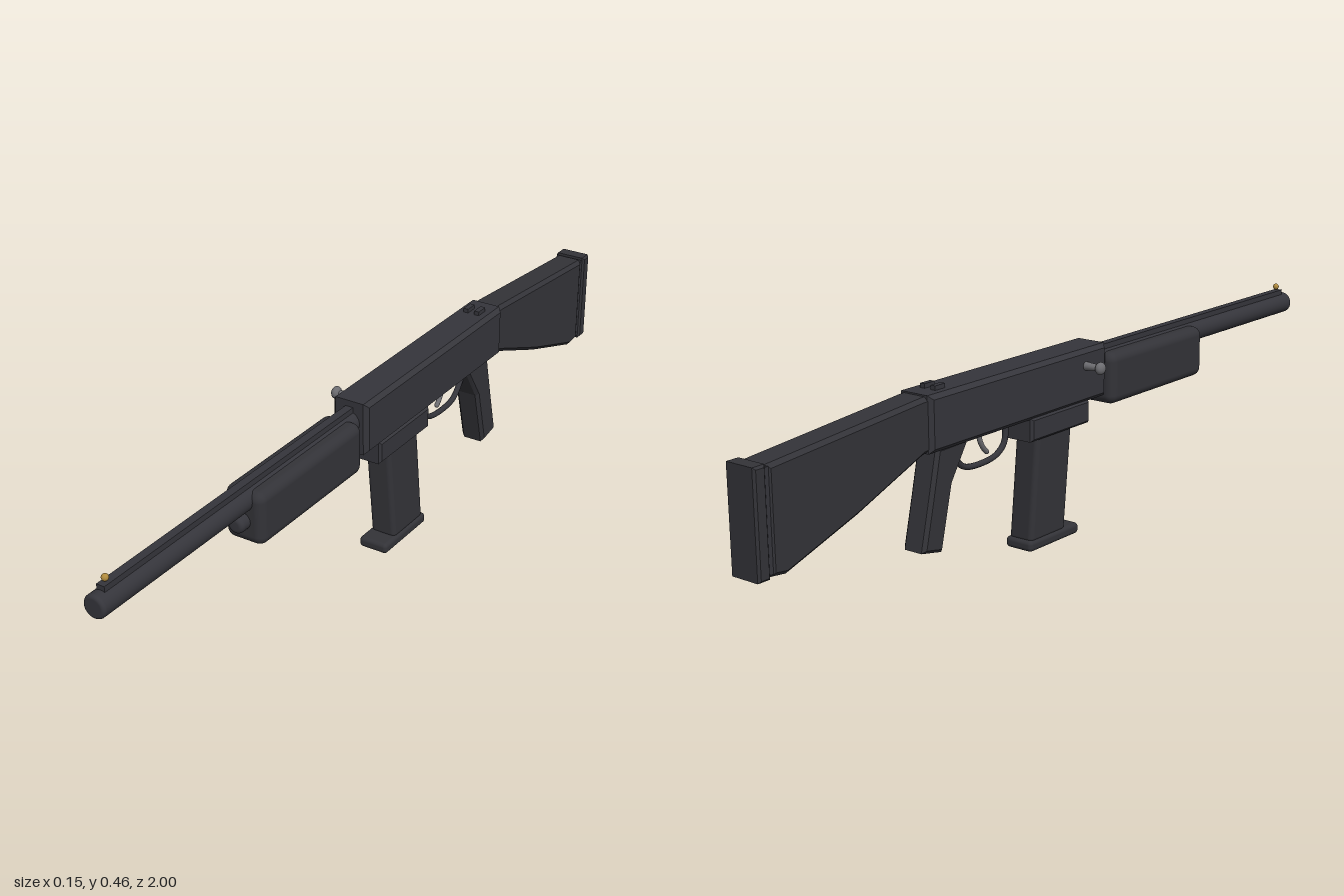
import * as THREE from 'three';
import { RoundedBoxGeometry } from 'three/addons/geometries/RoundedBoxGeometry.js';

const CX = 0.023; // centre plane of the body

const material = (name, color) => {
  const m = new THREE.MeshStandardMaterial({ color });
  m.name = name;
  return m;
};

// Side profile given as [z, y] points, extruded across x with a chamfer
function sideProfile(points, halfWidth, bevel) {
  const shape = new THREE.Shape(points.map(([z, y]) => new THREE.Vector2(z, y)));
  const geo = new THREE.ExtrudeGeometry(shape, {
    depth: 2 * (halfWidth - bevel), bevelEnabled: bevel > 0, bevelThickness: bevel,
    bevelSize: bevel, bevelOffset: -bevel, bevelSegments: 1,
  });
  geo.rotateY(-Math.PI / 2);
  geo.translate(halfWidth - bevel, 0, 0);
  return geo;
}

const rectangle = (z0, z1, y0, y1) => [[z0, y0], [z1, y0], [z1, y1], [z0, y1]];

// Round bar along z with a softened front end
function roundBar(radius, z0, z1, soft) {
  const pts = [new THREE.Vector2(0, z0), new THREE.Vector2(radius, z0), new THREE.Vector2(radius, z0 + 0.001), new THREE.Vector2(radius, z1 - soft - 0.001)];
  for (let i = 0; i <= 5; i++) {
    const a = (i / 5) * Math.PI / 2;
    pts.push(new THREE.Vector2(radius - soft + soft * Math.cos(a), z1 - soft + soft * Math.sin(a)));
  }
  pts.push(new THREE.Vector2(0, z1));
  return new THREE.LatheGeometry(pts, 28).rotateX(Math.PI / 2);
}

export function createModel() {
  const model = new THREE.Group();
  const metal = material('gunmetal', 0x35353b);
  const polymer = material('darkPolymer', 0x333338);
  const steel = material('steel', 0x6c6c70);
  const brass = material('brass', 0xb08a3c);

  const add = (name, geo, mat, x = CX, y = 0, z = 0) => {
    const mesh = new THREE.Mesh(geo, mat);
    mesh.name = name;
    mesh.position.set(x, y, z);
    model.add(mesh);
    return mesh;
  };

  // Barrel, rib, bead and lower tube
  add('barrel', roundBar(0.027, 0.1, 1.0, 0.008), metal, CX, 0.397);
  add('lowerTube', roundBar(0.02, 0.1, 0.555, 0.01), metal, CX, 0.347);
  add('topRib', new THREE.BoxGeometry(0.02, 0.016, 0.87), metal, CX, 0.427, 0.54);
  add('frontBead', new THREE.SphereGeometry(0.008, 16, 12), brass, CX, 0.445, 0.96);

  // Fore-end
  add('foreEnd', new RoundedBoxGeometry(0.1, 0.127, 0.39, 5, 0.022), polymer, CX, 0.3545, 0.331);

  // Receiver and rear sight posts
  add('receiver', sideProfile(rectangle(-0.505, 0.117, 0.321, 0.45), 0.047, 0.01), metal);
  for (const s of [-1, 1]) {
    add('rearSightPost', new THREE.BoxGeometry(0.013, 0.02, 0.032), metal, CX + s * 0.015, 0.45, -0.446);
  }

  // Bolt handle on the model's right side
  const stem = new THREE.CylinderGeometry(0.008, 0.011, 0.04, 20).rotateZ(Math.PI / 2);
  add('boltStem', stem, steel, -0.036, 0.41, 0.035);
  const knob = add('boltKnob', new THREE.SphereGeometry(0.015, 20, 14), steel, -0.066, 0.41, 0.035);
  knob.scale.x = 0.75;

  // Magazine well, raked magazine and its base
  add('magazineWell', sideProfile(rectangle(-0.163, 0.055, 0.268, 0.325), 0.044, 0.006), metal);
  const mag = new RoundedBoxGeometry(0.067, 0.27, 0.13, 4, 0.012);
  const pos = mag.attributes.position;
  for (let i = 0; i < pos.count; i++) pos.setZ(i, pos.getZ(i) + pos.getY(i) * 0.11);
  mag.computeBoundingSphere();
  add('magazine', mag, polymer, CX, 0.155, -0.077);
  add('magazineBase', new RoundedBoxGeometry(0.077, 0.027, 0.184, 4, 0.01), polymer, CX, 0.0145, -0.0715);

  // Trigger guard and trigger
  const guardPath = new THREE.CatmullRomCurve3([
    [0.326, -0.205], [0.275, -0.209], [0.252, -0.235], [0.243, -0.29],
    [0.25, -0.35], [0.275, -0.378], [0.31, -0.4],
  ].map(([y, z]) => new THREE.Vector3(0, y, z)));
  add('triggerGuard', new THREE.TubeGeometry(guardPath, 40, 0.007, 10), metal);
  const triggerPath = new THREE.CatmullRomCurve3([
    [0.325, -0.298], [0.3, -0.295], [0.28, -0.285], [0.266, -0.272],
  ].map(([y, z]) => new THREE.Vector3(0, y, z)));
  add('trigger', new THREE.TubeGeometry(triggerPath, 14, 0.006, 10), steel);
  add('triggerTip', new THREE.SphereGeometry(0.006, 10, 8), steel, CX, 0.266, -0.272);

  // Pistol grip
  add('pistolGrip', sideProfile([
    [-0.365, 0.325], [-0.42, 0.235], [-0.457, 0.086], [-0.521, 0.099], [-0.494, 0.212], [-0.468, 0.325],
  ].reverse(), 0.032, 0.008), polymer);

  // Shoulder stock with spacer and butt pad
  add('stock', sideProfile([
    [-0.49, 0.447], [-0.49, 0.324], [-0.515, 0.321], [-0.715, 0.243], [-0.92, 0.175], [-0.962, 0.18],
    [-0.962, 0.409], [-0.52, 0.446],
  ].reverse(), 0.038, 0.009), polymer);
  add('stockSpacer', sideProfile(rectangle(-0.975, -0.958, 0.186, 0.406), 0.036, 0), metal);
  add('buttPad', sideProfile(rectangle(-1.0, -0.968, 0.178, 0.413), 0.041, 0.005), polymer);

  return model;
}
